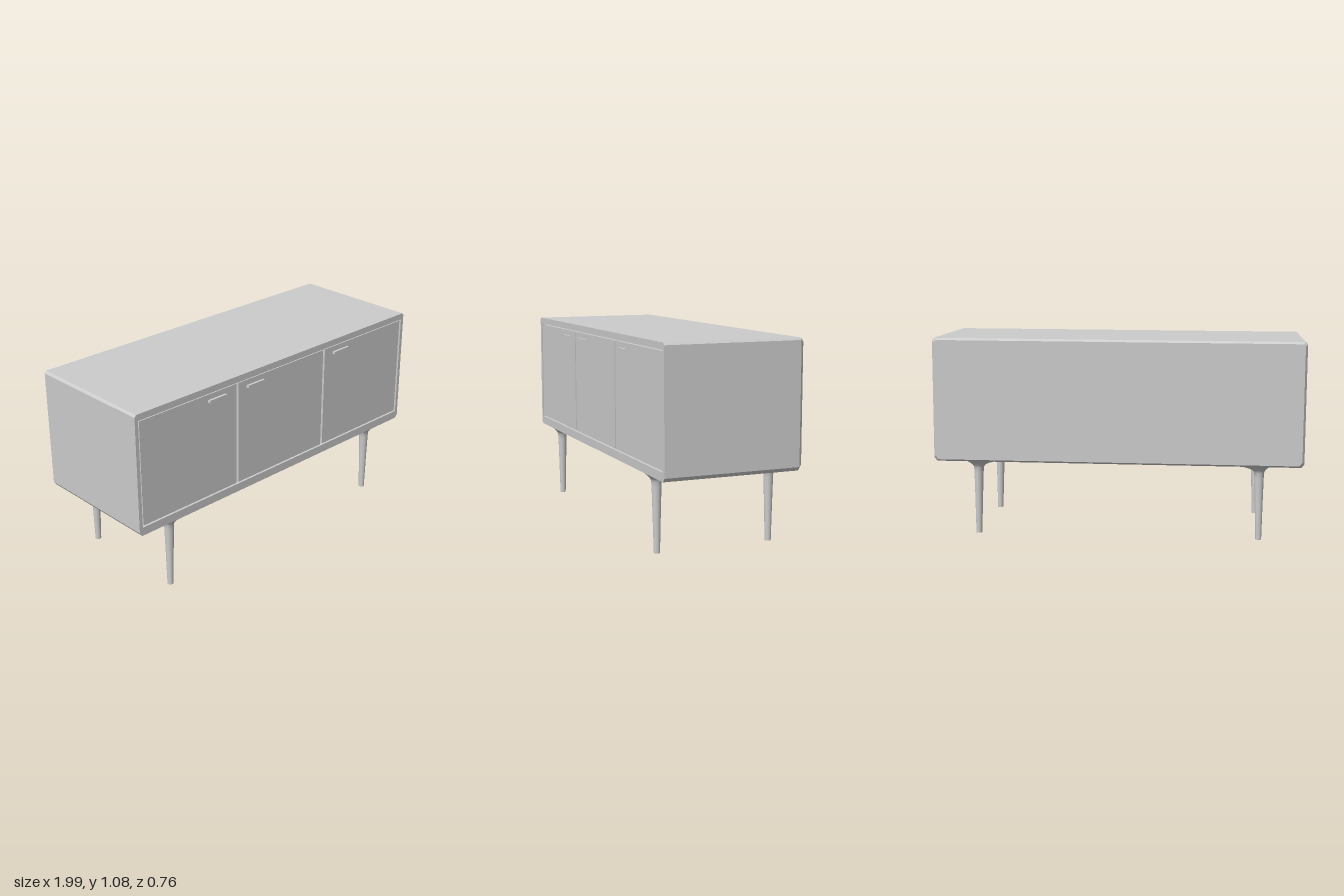
import * as THREE from 'three';

const mat = new THREE.MeshStandardMaterial({ color: 0xcccccc });
const FRONT = 0.37, BACK = -0.378, FLOOR = 0.406, TOP = 1.073;

function add(parent, name, geometry, x = 0, y = 0, z = 0) {
  const m = new THREE.Mesh(geometry, mat);
  m.name = name;
  m.position.set(x, y, z);
  parent.add(m);
  return m;
}

// Cabinet outline with small chamfered corners
function outline() {
  const pts = [
    [-0.98, FLOOR], [0.98, FLOOR], [0.995, FLOOR + 0.02], [0.995, TOP - 0.012],
    [0.985, TOP], [-0.985, TOP], [-0.995, TOP - 0.012], [-0.995, FLOOR + 0.02],
  ];
  return new THREE.Shape(pts.map(p => new THREE.Vector2(...p)));
}

// Body block, narrowed at the last step to bevel the back edges
function bodyGeometry() {
  const g = new THREE.ExtrudeGeometry(outline(), { depth: 1, steps: 2, bevelEnabled: false });
  const p = g.attributes.position, mid = (FLOOR + TOP) / 2;
  for (let i = 0; i < p.count; i++) {
    const t = p.getZ(i);
    if (t < 0.25) {
      p.setX(i, p.getX(i) * 0.988);
      p.setY(i, mid + (p.getY(i) - mid) * 0.968);
    }
    p.setZ(i, t < 0.25 ? BACK : t < 0.75 ? -0.362 : 0.345);
  }
  g.computeVertexNormals();
  return g;
}

// Frame around the doors
function frameGeometry() {
  const s = outline();
  const x = 0.975, y0 = 0.452, y1 = 1.038;
  s.holes.push(new THREE.Path([[-x, y0], [-x, y1], [x, y1], [x, y0]].map(p => new THREE.Vector2(...p))));
  return new THREE.ExtrudeGeometry(s, { depth: FRONT - 0.345, bevelEnabled: false });
}

// Turned tapered leg whose flare blends into a squarish foot plate, longer towards +x
function legGeometry() {
  const pts = [[0, 0], [0.016, 0], [0.016, 0.001], [0.021, 0.2], [0.025, 0.34], [0.027, 0.368],
    [0.033, 0.382], [0.045, 0.396], [0.056, FLOOR + 0.002]];
  const g = new THREE.LatheGeometry(pts.map(p => new THREE.Vector2(...p)), 24);
  const p = g.attributes.position;
  for (let i = 0; i < p.count; i++) {
    const k = THREE.MathUtils.clamp((p.getY(i) - 0.368) / (FLOOR - 0.368), 0, 1);
    let x = p.getX(i), z = p.getZ(i);
    const r = Math.hypot(x, z);
    if (r > 0) {
      const square = 1 + 0.8 * k * (r / Math.max(Math.abs(x), Math.abs(z)) - 1);
      x *= square;
      z *= square;
    }
    if (x > 0) x *= 1 + 0.8 * k * k;
    p.setX(i, x - 0.004 * (1 - p.getY(i) / FLOOR));
    p.setZ(i, z);
  }
  g.computeVertexNormals();
  return g;
}

// Flat pull bar, slightly narrower at its outer face
function handleGeometry() {
  const g = new THREE.BoxGeometry(0.124, 0.014, 0.018);
  const p = g.attributes.position;
  for (let i = 0; i < p.count; i++) {
    if (p.getZ(i) > 0) p.setX(i, p.getX(i) * 0.92);
  }
  g.computeVertexNormals();
  return g;
}

export function createModel() {
  const model = new THREE.Group();
  model.name = 'sideboard';
  const cabinet = new THREE.Group();
  cabinet.name = 'cabinet';
  model.add(cabinet);

  add(cabinet, 'body', bodyGeometry());
  add(cabinet, 'frontFrame', frameGeometry(), 0, 0, 0.345);

  // Three doors with thin gaps, each with a pull
  const pulls = [-0.465, -0.2, 0.455];
  const doorGeo = new THREE.BoxGeometry(0.635, 0.573, 0.022);
  const pullGeo = handleGeometry();
  for (let i = 0; i < 3; i++) {
    add(cabinet, 'door' + (i + 1), doorGeo, (i - 1) * 0.649, 0.745, 0.355);
    add(cabinet, 'handle' + (i + 1), pullGeo, pulls[i], 0.995, 0.371);
  }

  // Four legs, flares pointing inwards
  const legGeo = legGeometry();
  for (const sx of [-1, 1]) {
    for (const sz of [-1, 1]) {
      const name = (sz > 0 ? 'front' : 'back') + (sx > 0 ? 'Left' : 'Right') + 'Leg';
      const leg = add(cabinet, name, legGeo, sx * 0.76, 0, sz * 0.313);
      if (sx > 0) leg.rotation.y = Math.PI;
    }
  }

  // The whole piece leans very slightly to one side
  cabinet.rotation.z = 0.005;
  cabinet.position.set(0.003, 0.004, 0);
  return model;
}
